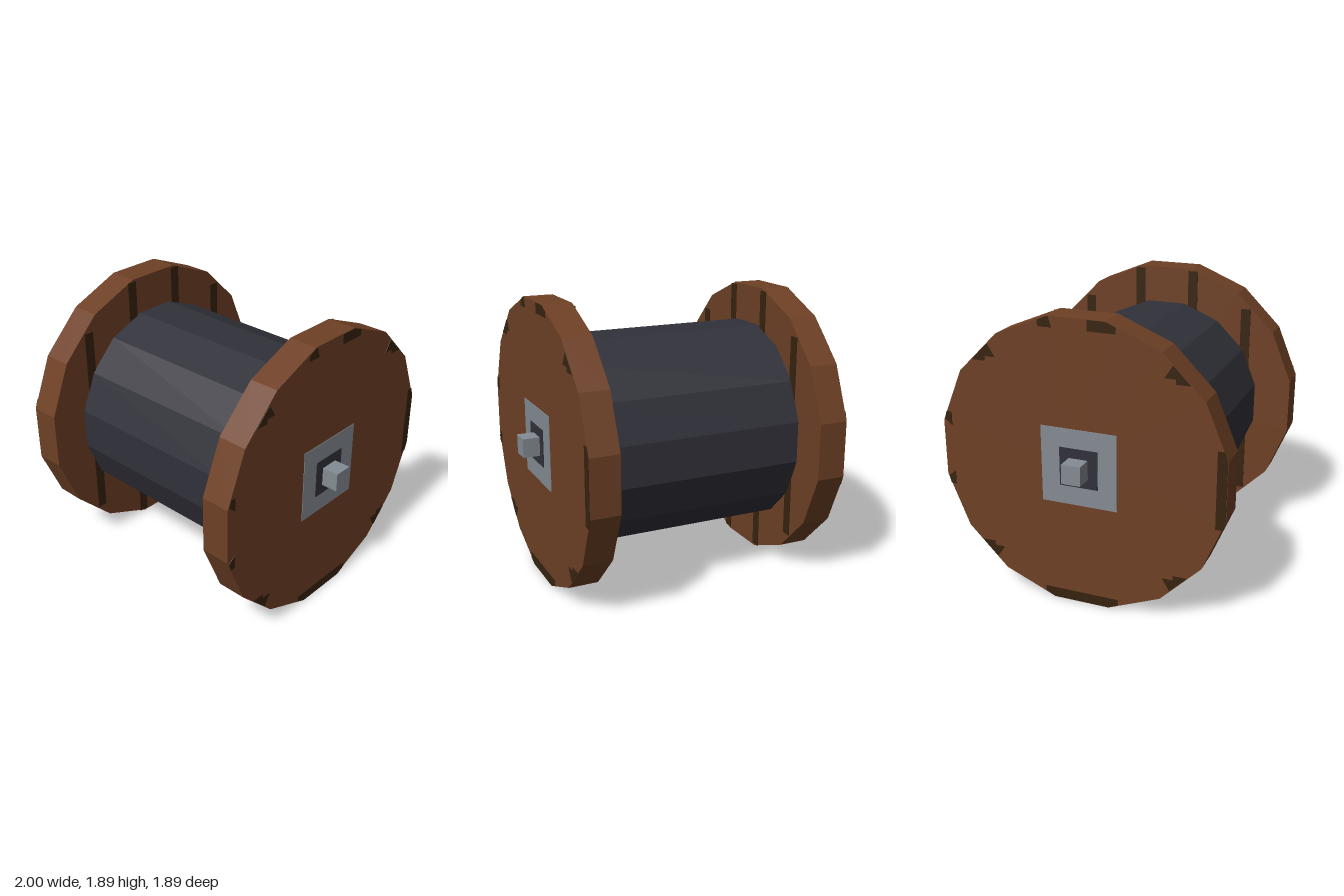
import * as THREE from 'three';

const material = (name, color) => {
  const m = new THREE.MeshStandardMaterial({ color });
  m.name = name;
  return m;
};

const AXIS_Y = 0.945;
const SIDES = 16;

export function createModel() {
  const wood = material('brown wood', 0x6e4025);
  const darkWood = material('dark wood gap', 0x37230f);
  const cable = material('dark cable', 0x31313a);
  const steel = material('grey steel', 0x848c93);

  const add = (parent, name, geometry, mat) => {
    const mesh = new THREE.Mesh(geometry, mat);
    mesh.name = name;
    parent.add(mesh);
    return mesh;
  };

  // Sixteen-sided drum lying along x, with a flat side on top
  const drum = (radius, length, x) => {
    const g = new THREE.CylinderGeometry(radius, radius, length, SIDES);
    g.rotateY(Math.PI / SIDES).rotateZ(Math.PI / 2).translate(x, 0, 0);
    const flat = g.toNonIndexed();
    flat.computeVertexNormals();
    return flat;
  };

  // Thin plate facing +x; points are [-z, y] from the axle
  const plate = (points, x, depth = 0.004) => {
    const shape = new THREE.Shape(points.map(([u, v]) => new THREE.Vector2(u, v)));
    return new THREE.ExtrudeGeometry(shape, { depth, bevelEnabled: false })
      .rotateY(Math.PI / 2).translate(x, 0, 0);
  };
  const rect = (u0, u1, v0, v1) => [[u0, v0], [u1, v0], [u1, v1], [u0, v1]];

  const model = new THREE.Group();
  model.name = 'cableSpool';
  const spool = new THREE.Group();
  spool.name = 'spool';
  spool.position.y = AXIS_Y;
  model.add(spool);

  // Wound cable
  add(spool, 'cableCore', drum(0.703, 1.38, 0), cable);

  // Each end is the same assembly, turned half way round
  const buildEnd = (name) => {
    const end = new THREE.Group();
    end.name = name;
    add(end, 'flange', drum(0.963, 0.196, 0.782), wood);

    // Square hub plate, dark washer and axle
    add(end, 'hubPlate', plate(rect(-0.252, 0.252, -0.252, 0.252), 0.88), steel);
    add(end, 'washer', plate(rect(-0.127, 0.127, -0.127, 0.127), 0.884), cable);
    const axle = new THREE.BoxGeometry(0.13, 0.126, 0.126).translate(0.935, 0, 0);
    add(end, 'axle', axle, steel);

    // Dark gaps along the rim of the outer face
    const patches = [
      [[-0.25, 0.875], [-0.16, 0.875], [-0.18, 0.942], [-0.19, 0.942], [-0.25, 0.915]],
      [[0.07, 0.875], [0.25, 0.875], [0.25, 0.915], [0.185, 0.942], [0.07, 0.942]],
      [[-0.25, -0.875], [-0.25, -0.915], [-0.188, -0.942], [0.188, -0.942], [0.25, -0.915], [0.25, -0.875]],
      [[0.88, -0.25], [0.92, -0.25], [0.942, -0.188], [0.942, 0.188], [0.92, 0.25], [0.88, 0.25]],
    ];
    for (const s of [-1, 1]) {
      patches.push([[-0.92, s * 0.25], [-0.885, s * 0.25], [-0.885, s * 0.16], [-0.935, s * 0.2]]);
      for (const t of [-1, 1]) {
        patches.push([[0.71, 0.62], [0.62, 0.62], [0.62, 0.65], [0.55, 0.65], [0.6, 0.73], [0.66, 0.67]]
          .map(([u, v]) => [s * u, t * v]));
      }
    }
    patches.forEach((p) => add(end, 'rimGap', plate(p, 0.88), darkWood));

    // Upright gaps between the planks of the inner face
    for (const [z, top, bottom] of [[0.2, 0.93, 0.6], [0.6, 0.69, 0.2]]) {
      for (const s of [-1, 1]) {
        for (const t of [-1, 1]) {
          const gap = new THREE.BoxGeometry(0.004, top - bottom, 0.07)
            .translate(0.682, t * (top + bottom) / 2, s * z);
          add(end, 'plankGap', gap, darkWood);
        }
      }
    }
    spool.add(end);
    return end;
  };

  buildEnd('leftEnd');
  buildEnd('rightEnd').rotation.y = Math.PI;
  return model;
}
